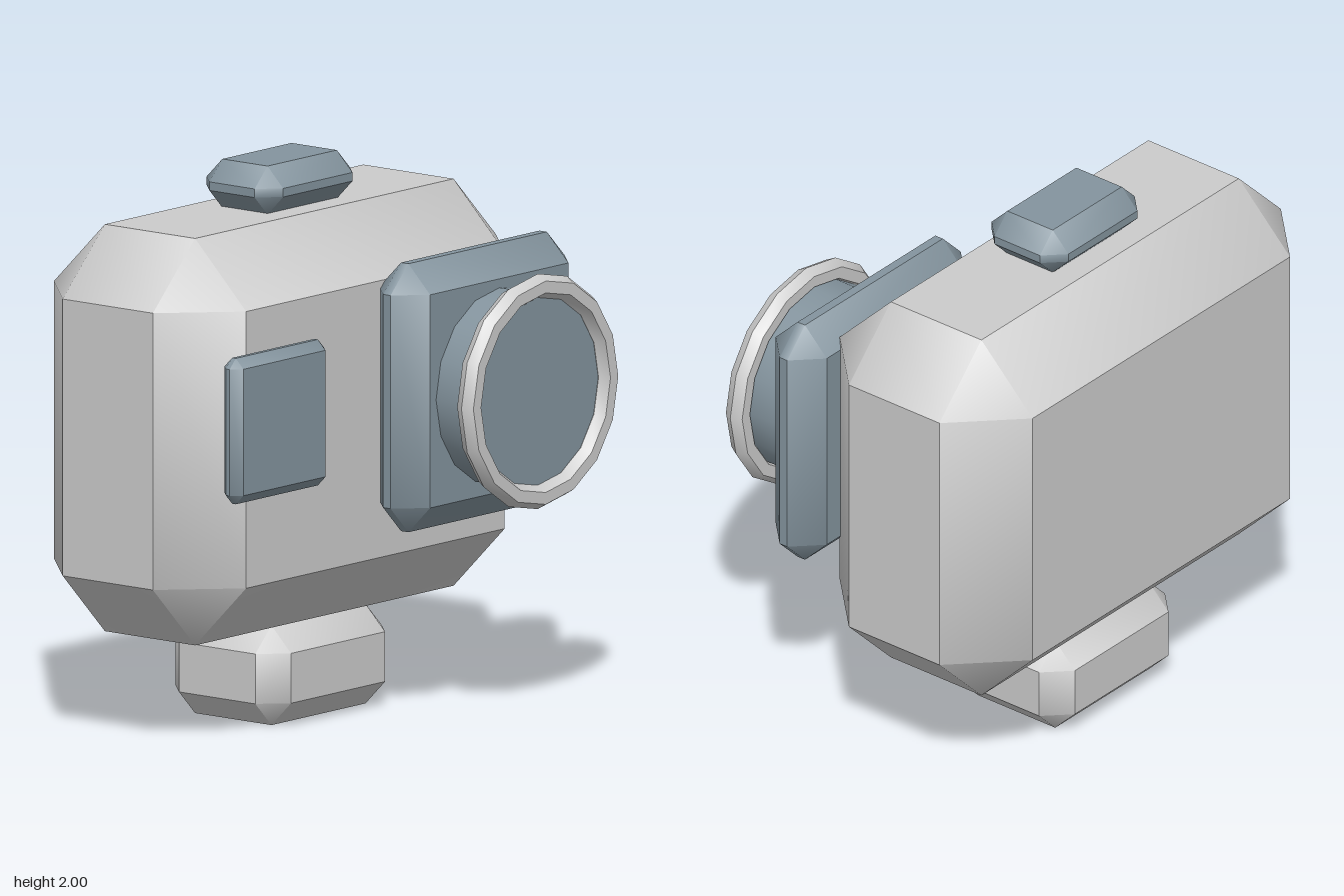
import * as THREE from 'three';
import { ConvexGeometry } from 'three/addons/geometries/ConvexGeometry.js';
import { toCreasedNormals } from 'three/addons/utils/BufferGeometryUtils.js';

const CREASE = 0.7; // keeps flat faces crisp while bevels blend into the corners

const grey = new THREE.MeshStandardMaterial({ color: 0xcccccc });
const slate = new THREE.MeshStandardMaterial({ color: 0x84949e });

function part(name, geometry, material, position) {
  const mesh = new THREE.Mesh(toCreasedNormals(geometry, CREASE), material);
  mesh.name = name;
  mesh.position.set(...position);
  return mesh;
}

// Box with single-step bevels on all edges, given by its extents on each axis
function bevelledBox(name, material, [x0, x1], [y0, y1], [z0, z1], bevel) {
  const half = [(x1 - x0) / 2, (y1 - y0) / 2, (z1 - z0) / 2];
  const points = [];
  for (const sx of [-1, 1]) for (const sy of [-1, 1]) for (const sz of [-1, 1]) {
    for (let axis = 0; axis < 3; axis++) {
      const [x, y, z] = half.map((h, i) => (i === axis ? h : h - bevel));
      points.push(new THREE.Vector3(sx * x, sy * y, sz * z));
    }
  }
  const centre = [(x0 + x1) / 2, (y0 + y1) / 2, (z0 + z1) / 2];
  return part(name, new ConvexGeometry(points), material, centre);
}

export function createModel() {
  const model = new THREE.Group();
  model.name = 'actionCamera';

  // Housing, mounting foot and shutter button
  model.add(
    bevelledBox('housing', grey, [-0.955, 0.955], [0.36, 1.83], [-0.655, 0.23], 0.235),
    bevelledBox('mountFoot', grey, [-0.352, 0.352], [0, 0.36], [-0.473, 0.058], 0.09),
    bevelledBox('shutterButton', slate, [-0.265, 0.265], [1.825, 2], [-0.387, -0.035], 0.072),
    bevelledBox('frontScreen', slate, [-0.855, -0.328], [0.918, 1.445], [0.213, 0.3], 0.035),
  );

  // Lens: square plate, barrel and rim
  const lens = new THREE.Group();
  lens.name = 'lens';
  const lensX = 0.44, lensY = 1.18;
  const barrel = new THREE.CylinderGeometry(0.353, 0.353, 0.23, 16).rotateX(Math.PI / 2);
  const rim = new THREE.TorusGeometry(0.382, 0.043, 6, 16);
  lens.add(
    bevelledBox('lensPlate', slate, [-0.046, 0.925], [0.695, 1.665], [0.203, 0.437], 0.1),
    part('lensBarrel', barrel, slate, [lensX, lensY, 0.495]),
    part('lensRim', rim, grey, [lensX, lensY, 0.613]),
  );
  model.add(lens);

  return model;
}
